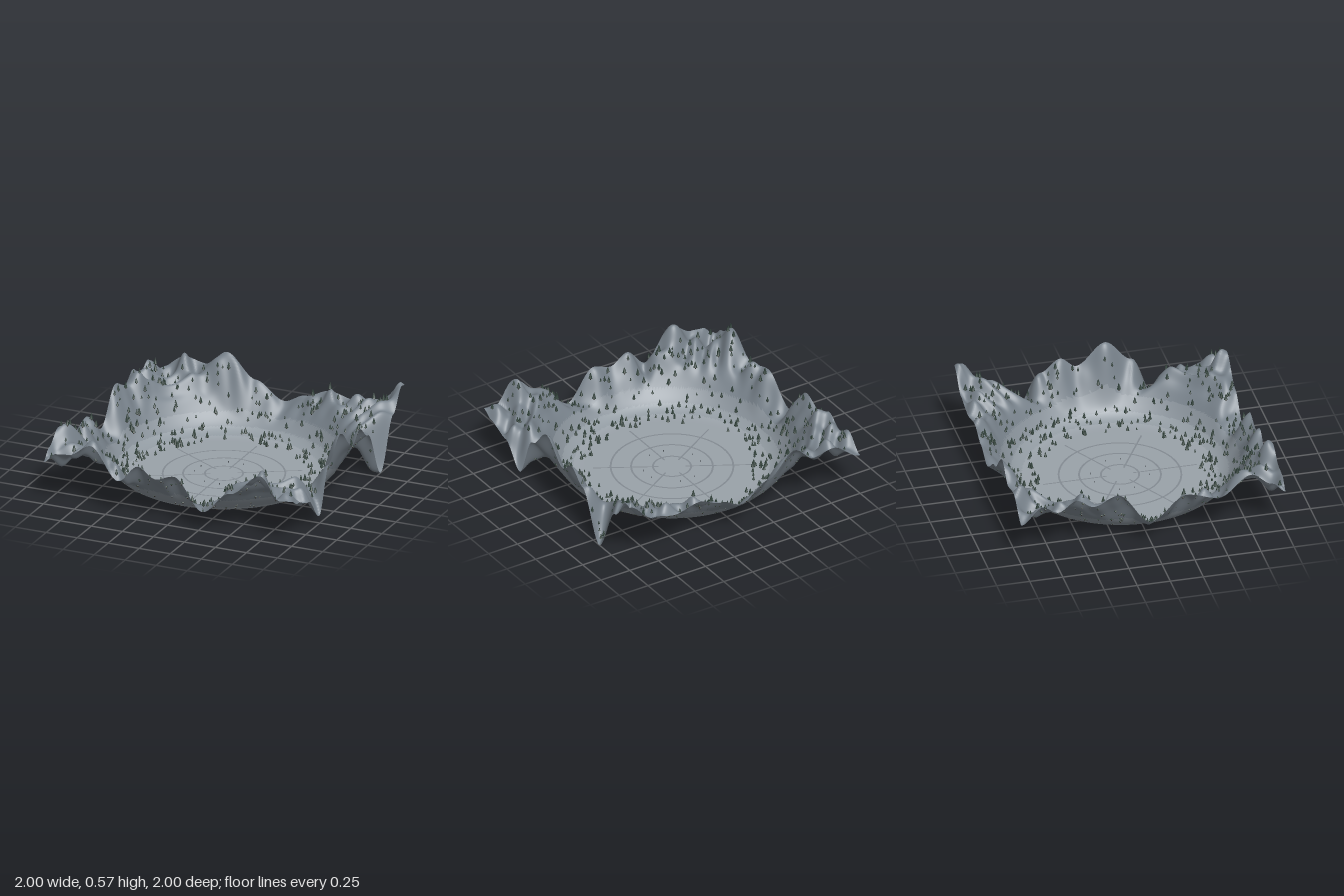
import * as THREE from 'three';
import { mergeGeometries } from 'three/addons/utils/BufferGeometryUtils.js';

const FLOOR = 0.04;

// Rim heights along the four edges, as [position, height] knots
const RIM = {
  front: [[-1, 0.33], [-0.9, 0.41], [-0.8, 0.42], [-0.62, 0.52], [-0.4, 0.28], [-0.24, 0.42], [-0.1, 0.345],
    [0.05, 0.39], [0.28, 0.15], [0.5, 0.33], [0.75, 0.51], [0.9, 0.34], [1, 0.35]],
  back: [[-1, 0.33], [-0.76, 0.47], [-0.6, 0.44], [-0.43, 0.56], [-0.2, 0.38], [0.03, 0.25], [0.2, 0.32],
    [0.4, 0.39], [0.6, 0.35], [0.8, 0.39], [1, 0.54]],
  right: [[-1, 0.54], [-0.95, 0.55], [-0.8, 0.38], [-0.58, 0], [-0.35, 0.38], [-0.2, 0.48], [-0.08, 0.4],
    [0.14, 0.57], [0.34, 0.4], [0.51, 0.06], [0.7, 0.24], [0.9, 0.3], [1, 0.35]],
  left: [[-1, 0.33], [-0.84, 0.46], [-0.72, 0.4], [-0.58, 0.48], [-0.45, 0.41], [-0.27, 0.48], [-0.02, 0.22],
    [0.25, 0.41], [0.5, 0.35], [0.74, 0.51], [0.9, 0.41], [1, 0.33]],
};

// Terrain tones from the clearing outward, as [outer radius, color]
const TONES = [[0.72, 0x9aa2a9], [0.8, 0x919aa1], [0.88, 0x858e96], [2, 0x77818a]];

const smooth = (a, b, v) => THREE.MathUtils.smoothstep(v, a, b);

function rimHeight(x, z) {
  const sideways = Math.abs(x) > Math.abs(z);
  const knots = sideways ? (x > 0 ? RIM.right : RIM.left) : (z > 0 ? RIM.front : RIM.back);
  const t = sideways ? z : x;
  let i = 1;
  while (i < knots.length - 1 && knots[i][0] < t) i++;
  const [t0, y0] = knots[i - 1], [t1, y1] = knots[i];
  return y0 + (y1 - y0) * smooth(t0, t1, t);
}

// Bowl wall with rolling knolls outside it
function bowlHeight(x, z) {
  const r = Math.hypot(x, z);
  const knolls = Math.sin(x * 25 + Math.sin(z * 9) * 1.5) * Math.sin(z * 23 + Math.sin(x * 8) * 1.5);
  return FLOOR + 0.32 * smooth(0.6, 1.06, r) ** 2 + 0.06 * knolls * smooth(0.9, 1.1, r);
}

// Near the edge the bowl bends to meet the peaks and notches of the rim
function groundHeight(x, z) {
  const m = Math.max(Math.abs(x), Math.abs(z), 0.01);
  const ex = x / m, ez = z / m;
  const pull = 1 - smooth(0, 0.2, 1 - m);
  return bowlHeight(x, z) + (rimHeight(ex, ez) - bowlHeight(ex, ez)) * pull;
}

// Height field split into one material group per tone
function makeTerrain() {
  const geo = new THREE.PlaneGeometry(2, 2, 200, 200).rotateX(-Math.PI / 2);
  const pos = geo.attributes.position;
  for (let i = 0; i < pos.count; i++) pos.setY(i, groundHeight(pos.getX(i), pos.getZ(i)));
  geo.computeVertexNormals();
  const bands = TONES.map(() => []);
  const index = geo.index.array;
  for (let i = 0; i < index.length; i += 3) {
    const r = Math.hypot(pos.getX(index[i]), pos.getZ(index[i]));
    bands[TONES.findIndex(([outer]) => r < outer)].push(index[i], index[i + 1], index[i + 2]);
  }
  geo.setIndex(bands.flat());
  let start = 0;
  bands.forEach((band, i) => {
    geo.addGroup(start, band.length, i);
    start += band.length;
  });
  return geo;
}

// Thin rings and six spokes marked on both faces of the floor
function makeMarkings() {
  const parts = [];
  for (const y of [FLOOR - 0.001, FLOOR + 0.001]) {
    for (const r of [0.14, 0.3, 0.45]) {
      parts.push(new THREE.RingGeometry(r - 0.007, r + 0.007, 72).rotateX(-Math.PI / 2).translate(0, y, 0));
    }
    for (let k = 0; k < 6; k++) {
      parts.push(new THREE.PlaneGeometry(0.48, 0.012).rotateX(-Math.PI / 2).translate(0.34, y, 0)
        .rotateY(Math.PI / 6 + (k * Math.PI) / 3));
    }
  }
  return mergeGeometries(parts);
}

// One fir of unit height: an open trunk and three stacked cones
function makeFir() {
  const trunk = new THREE.CylinderGeometry(0.06, 0.09, 0.4, 5, 1, true).translate(0, 0.1, 0);
  const crown = mergeGeometries([[0.28, 0.48, 0.38], [0.21, 0.4, 0.6], [0.13, 0.34, 0.83]].map(
    ([radius, height, y]) => new THREE.ConeGeometry(radius, height, 6).translate(0, y, 0)));
  return { trunk, crown };
}

function seeded(seed) {
  return () => {
    seed = (seed * 16807) % 2147483647;
    return seed / 2147483647;
  };
}

export function createModel() {
  const group = new THREE.Group();
  const material = (color, extra = {}) => new THREE.MeshStandardMaterial({ color, ...extra });
  const add = (name, geometry, mat) => {
    const mesh = new THREE.Mesh(geometry, mat);
    mesh.name = name;
    group.add(mesh);
  };

  const twoSided = { side: THREE.DoubleSide };
  add('terrain', makeTerrain(), TONES.map(([, color]) => material(color, twoSided)));
  add('floorMarkings', makeMarkings(), material(0x838b92, twoSided));

  // Firs scattered over the slopes outside the clearing
  const random = seeded(4711);
  const fir = makeFir();
  const trunks = [], crowns = [];
  while (crowns.length < 600) {
    const x = (random() * 2 - 1) * 0.98, z = (random() * 2 - 1) * 0.98;
    const r = Math.hypot(x, z);
    if (r < 0.59 || (r > 1.1 && random() < 0.3)) continue;
    const size = 0.025 + random() * 0.035;
    const place = new THREE.Matrix4().makeRotationY(random() * 6.28)
      .scale(new THREE.Vector3(size, size, size))
      .setPosition(x, groundHeight(x, z), z);
    trunks.push(fir.trunk.clone().applyMatrix4(place));
    crowns.push(fir.crown.clone().applyMatrix4(place));
  }
  add('treeTrunks', mergeGeometries(trunks), material(0x2e2a26, twoSided));
  add('treeCrowns', mergeGeometries(crowns), material(0x2a3b34, { flatShading: true }));

  // Tiny marker posts around the middle of the clearing
  const posts = [];
  for (const sx of [-1, 1]) for (const sz of [-1, 1]) for (const [px, pz] of [[0.06, 0.21], [0.21, 0.055]]) {
    posts.push(new THREE.CylinderGeometry(0.002, 0.003, 0.012, 6).translate(sx * px, FLOOR + 0.005, sz * pz));
  }
  add('markerPosts', mergeGeometries(posts), material(0x33383c));

  return group;
}
